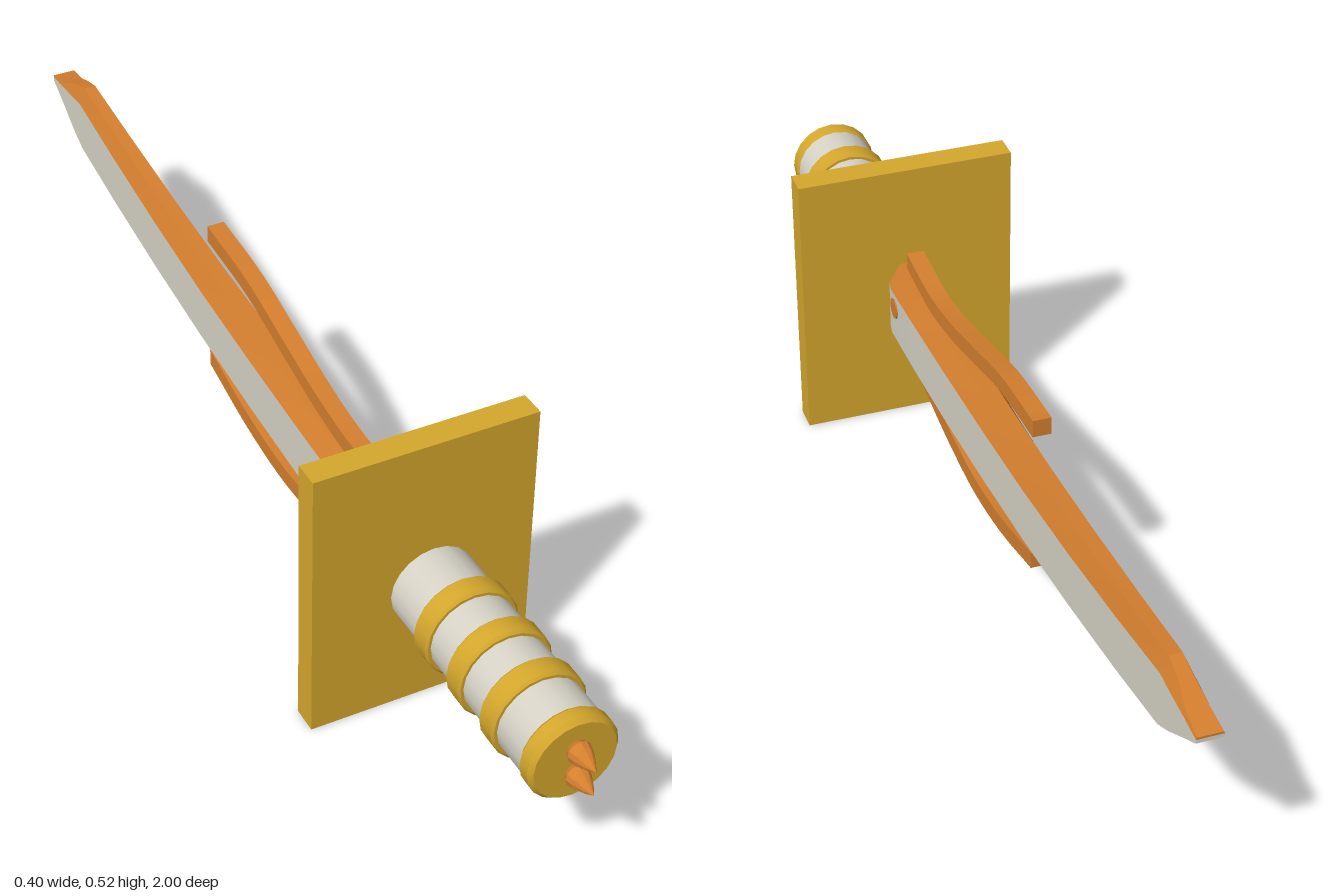
import * as THREE from 'three';
import { toCreasedNormals } from 'three/addons/utils/BufferGeometryUtils.js';

const AXIS_Y = 0.262; // height of the sword's long axis

const mat = (name, color) => {
  const m = new THREE.MeshStandardMaterial({ color });
  m.name = name;
  return m;
};

// Skin closed rings of [x, y, z]; each ring runs counterclockwise seen from +z, rings run towards -z
function loft(rings) {
  const pos = [];
  const tri = (a, b, c) => pos.push(...a, ...b, ...c);
  const n = rings[0].length;
  for (let i = 0; i < rings.length - 1; i++) {
    for (let j = 0; j < n; j++) {
      const k = (j + 1) % n;
      const a = rings[i][j], b = rings[i][k], c = rings[i + 1][k], d = rings[i + 1][j];
      tri(a, d, c);
      tri(a, c, b);
    }
  }
  const first = rings[0], last = rings[rings.length - 1];
  for (let j = 1; j < n - 1; j++) {
    tri(first[0], first[j], first[j + 1]);
    tri(last[0], last[j + 1], last[j]);
  }
  const g = new THREE.BufferGeometry();
  g.setAttribute('position', new THREE.Float32BufferAttribute(pos, 3));
  g.computeVertexNormals();
  return toCreasedNormals(g, 0.3);
}

export function createModel() {
  const gold = mat('gold', 0xd4a72c);
  const bronze = mat('bronze', 0xd47f2e);
  const ivory = mat('ivory', 0xd6d2c6);

  const model = new THREE.Group();
  model.name = 'sword';
  const add = (name, geometry, material, x = 0, y = AXIS_Y, z = 0) => {
    const mesh = new THREE.Mesh(geometry, material);
    mesh.name = name;
    mesh.position.set(x, y, z);
    model.add(mesh);
    return mesh;
  };
  // Turned part whose axis runs along z; profile points are [radius, z]
  const turned = (profile, sides) => toCreasedNormals(
    new THREE.LatheGeometry(profile.map(([r, z]) => new THREE.Vector2(r, z)), sides).rotateX(Math.PI / 2), 0.5);

  // Guard plate
  add('guard', new THREE.BoxGeometry(0.4, 0.52, 0.048), gold, 0, 0.26, 0.454);

  // Grip with three bands
  add('grip', turned([[0, 0.508], [0.075, 0.508], [0.075, 0.92], [0, 0.92]], 20), ivory);
  for (const z of [0.617, 0.72, 0.822]) {
    add('gripBand', turned([[0.07, -0.021], [0.08, -0.021], [0.084, -0.017],
      [0.084, 0.017], [0.08, 0.021], [0.07, 0.021]], 20), gold, 0, AXIS_Y, z);
  }

  // Pommel cap and its two studs
  add('pommel', turned([[0, 0.91], [0.074, 0.91], [0.079, 0.916], [0.079, 0.937], [0.072, 0.945], [0, 0.945]], 20), gold);
  for (const side of [-1, 1]) {
    add('pommelStud', turned([[0, 0.935], [0.015, 0.94], [0.021, 0.953], [0.018, 0.965], [0.009, 0.985], [0, 1]], 12),
      bronze, 0, AXIS_Y + side * 0.024);
  }

  // Blade stations: z, underside, shoulder, spine, half width, spine half width
  const stations = [
    [0.425, 0.2, 0.292, 0.328, 0.037, 0.016],
    [0.4, 0.199, 0.293, 0.331, 0.042, 0.017],
    [0.27, 0.199, 0.297, 0.334, 0.04, 0.016],
    [0.1, 0.205, 0.306, 0.342, 0.038, 0.016],
    [-0.1, 0.217, 0.318, 0.355, 0.035, 0.015],
    [-0.3, 0.234, 0.334, 0.372, 0.032, 0.014],
    [-0.5, 0.257, 0.357, 0.394, 0.029, 0.013],
    [-0.7, 0.286, 0.386, 0.42, 0.026, 0.012],
    [-0.865, 0.314, 0.413, 0.444, 0.023, 0.011],
    [-0.905, 0.335, 0.409, 0.434, 0.023, 0.012],
    [-0.95, 0.363, 0.405, 0.414, 0.022, 0.018],
    [-1, 0.394, 0.401, 0.405, 0.022, 0.021],
  ];
  add('bladeBody', loft(stations.map(([z, b, s, , w]) =>
    [[-w, b, z], [w, b, z], [w, s, z], [-w, s, z]])), ivory, 0, 0);
  add('bladeSpine', loft(stations.map(([z, , s, t, w, tw]) =>
    [[-w, s, z], [w, s, z], [tw, t, z], [-tw, t, z]])), bronze, 0, 0);

  // Pin through the blade root
  add('bladePin', new THREE.CylinderGeometry(0.02, 0.02, 0.088, 8).rotateZ(Math.PI / 2), bronze, 0, 0.264, 0.38);

  // Curved prongs above and below the blade, [z, y] along the centre line
  const prongs = {
    upperProng: [[0.38, 0.361], [0.25, 0.354], [0.13, 0.37], [0, 0.402], [-0.14, 0.437], [-0.297, 0.453]],
    lowerProng: [[0.38, 0.176], [0.25, 0.15], [0.13, 0.133], [0, 0.126], [-0.14, 0.143], [-0.297, 0.183]],
  };
  for (const [name, path] of Object.entries(prongs)) {
    const curve = new THREE.CatmullRomCurve3(path.map(([z, y]) => new THREE.Vector3(0, y, z)));
    const h = 0.016;
    add(name, loft(curve.getPoints(24).map(({ y, z }) =>
      [[-h, y - h, z], [h, y - h, z], [h, y + h, z], [-h, y + h, z]])), bronze, 0, 0);
  }

  return model;
}
